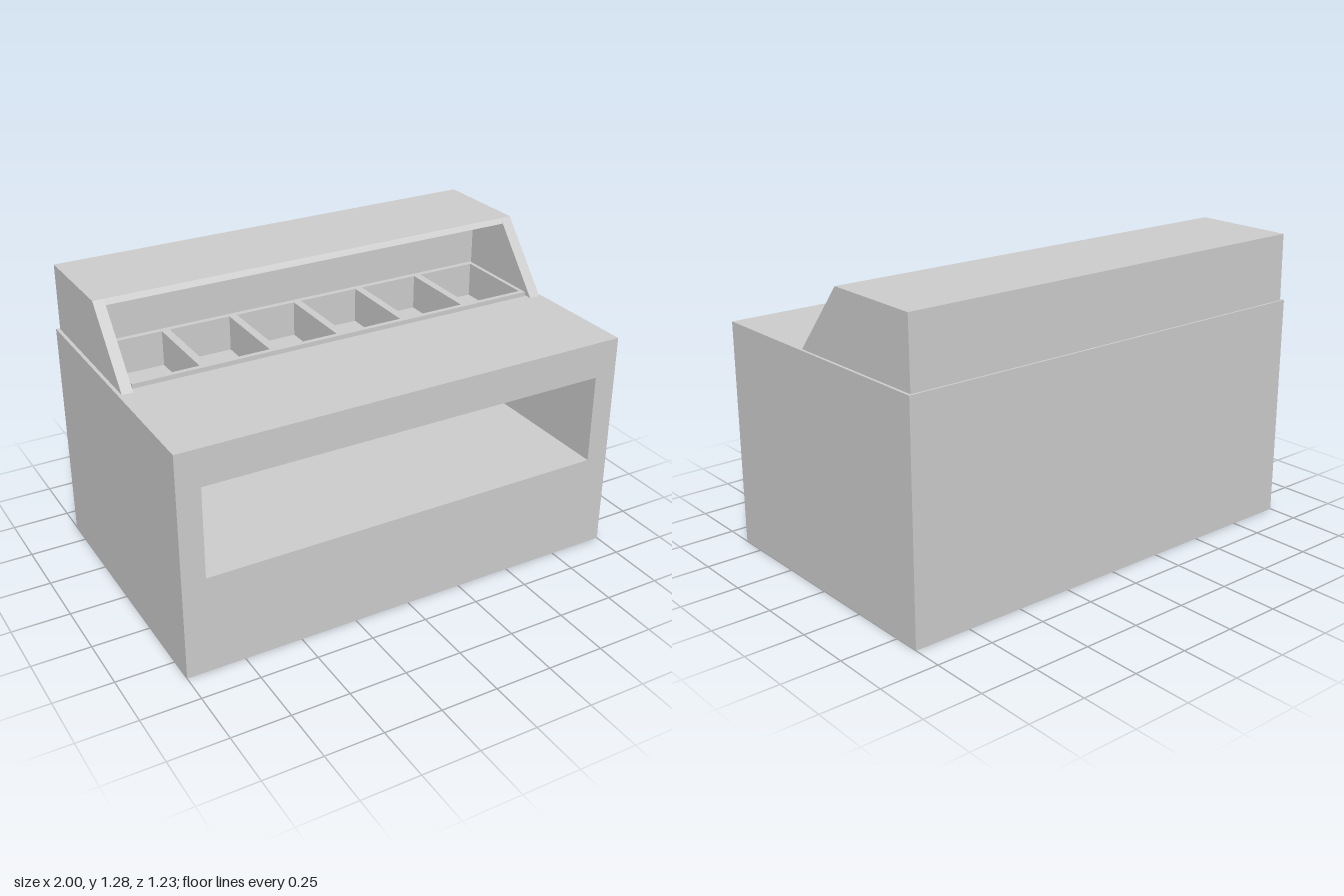
import * as THREE from 'three';

const material = new THREE.MeshStandardMaterial({ color: 0xcccccc, flatShading: true });

function add(group, name, geometry) {
  const mesh = new THREE.Mesh(geometry, material);
  mesh.name = name;
  group.add(mesh);
  return mesh;
}

// Box given by its lower and upper corners
function block(x0, x1, y0, y1, z0, z1) {
  return new THREE.BoxGeometry(x1 - x0, y1 - y0, z1 - z0)
    .translate((x0 + x1) / 2, (y0 + y1) / 2, (z0 + z1) / 2);
}

// Rectangle [x0, x1, z0, z1] as plan points, with plan y = -z
function rect([x0, x1, z0, z1]) {
  return [[x0, -z1], [x1, -z1], [x1, -z0], [x0, -z0]].map(p => new THREE.Vector2(...p));
}

// Horizontal slab between two heights with rectangular holes
function slab(outline, holes, y0, y1) {
  const shape = new THREE.Shape(outline);
  for (const h of holes) shape.holes.push(new THREE.Path(rect(h)));
  return new THREE.ExtrudeGeometry(shape, { depth: y1 - y0, bevelEnabled: false })
    .rotateX(-Math.PI / 2).translate(0, y0, 0);
}

// Side profile of [z, y] points swept from x0 to x1
function sweep(profile, x0, x1) {
  const shape = new THREE.Shape(profile.map(([z, y]) => new THREE.Vector2(-z, y)));
  return new THREE.ExtrudeGeometry(shape, { depth: x1 - x0, bevelEnabled: false })
    .rotateY(Math.PI / 2).translate(x0, 0, 0);
}

export function createModel() {
  const model = new THREE.Group();
  model.name = 'servingCounter';
  const front = 0.617, back = -0.617, top = 0.985;
  const shelfY = 0.43, ceilingY = 0.825;
  const tray = [-0.93, 0.93, -0.36, 0.065];

  // Counter body: plinth, U-shaped walls around the open shelf, top with tray cut-out
  const body = new THREE.Group();
  body.name = 'counterBody';
  model.add(body);
  add(body, 'base', block(-1, 1, 0, shelfY, back, front));
  const walls = [
    [-1, front], [-0.9, front], [-0.9, -0.52], [0.9, -0.52],
    [0.9, front], [1, front], [1, back], [-1, back],
  ].map(([x, z]) => new THREE.Vector2(x, -z));
  add(body, 'shelfWalls', slab(walls, [], shelfY, ceilingY));
  add(body, 'worktop', slab(rect([-1, 1, back, front]), [tray], ceilingY, top));

  // Six ingredient bins sunk into the worktop
  const bins = new THREE.Group();
  bins.name = 'binTray';
  model.add(bins);
  const openings = [];
  for (let i = 0; i < 6; i++) {
    const x = (i - 2.5) * 0.31;
    openings.push([x - 0.1375, x + 0.1375, -0.335, 0.043]);
  }
  add(bins, 'binDividers', slab(rect(tray), openings, 0.85, 1.005));
  add(bins, 'binFloor', block(tray[0], tray[1], ceilingY, 0.85, tray[2], tray[3]));

  // Hood: sloped cheeks, roof and back
  const hood = new THREE.Group();
  hood.name = 'hood';
  model.add(hood);
  const cheek = [[0.095, top], [-0.155, 1.28], [-0.604, 1.276], [-0.608, top]];
  add(hood, 'rightCheek', sweep(cheek, -0.985, -0.938));
  add(hood, 'leftCheek', sweep(cheek, 0.938, 0.988));
  const cover = [
    [-0.155, 1.28], [-0.604, 1.276], [-0.608, top],
    [-0.365, top], [-0.365, 1.259], [-0.138, 1.259],
  ];
  add(hood, 'roofAndBack', sweep(cover, -0.938, 0.938));

  return model;
}
